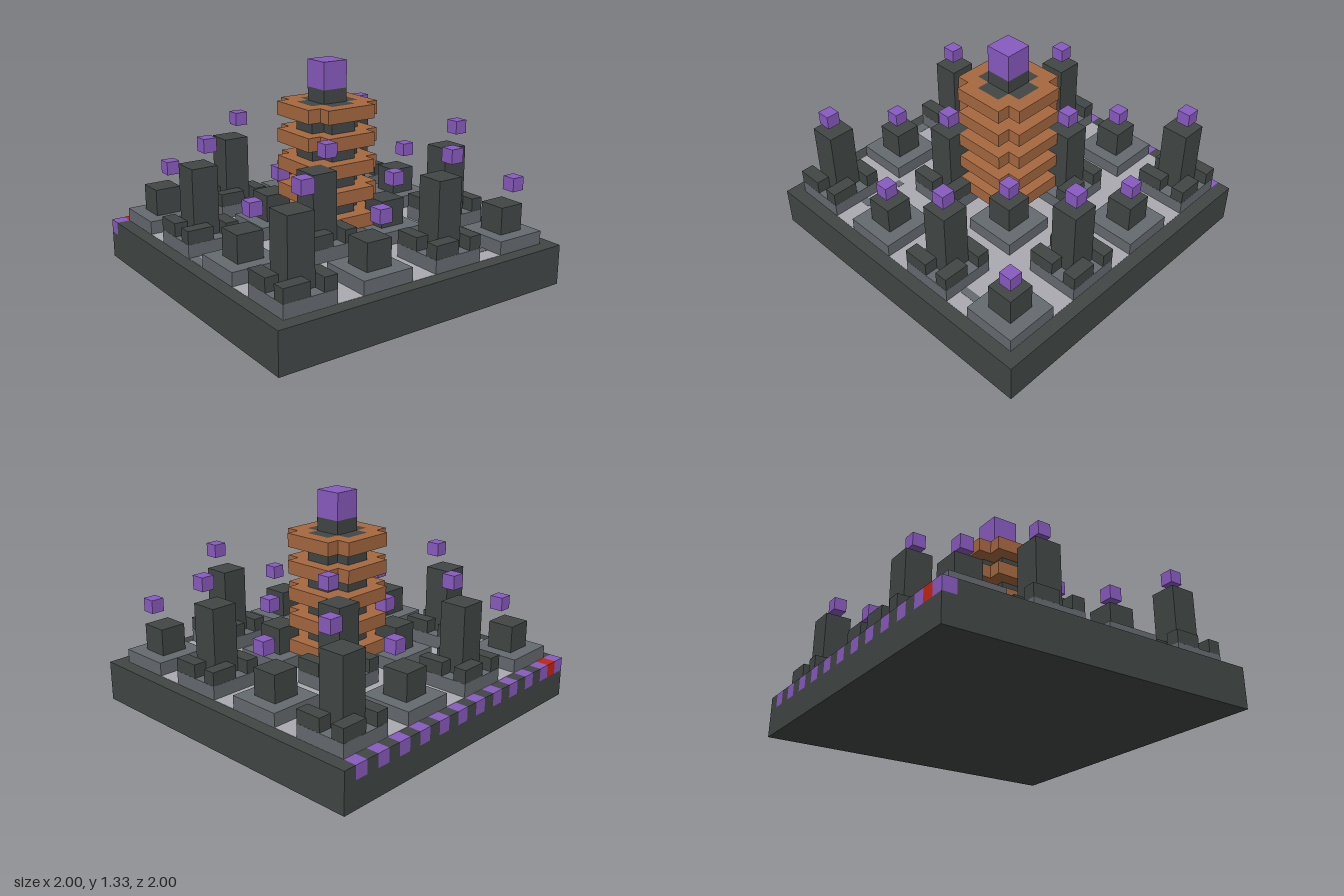
import * as THREE from 'three';

const U = 1 / 12; // one block

const material = (name, color) => {
  const m = new THREE.MeshStandardMaterial({ color });
  m.name = name;
  return m;
};

export function createModel() {
  const dark = material('dark stone', 0x414746);
  const grey = material('grey stone', 0x656a6f);
  const light = material('pale paving', 0xaaaab0);
  const copper = material('copper', 0xa5683f);
  const purple = material('purple crystal', 0x895bc0);
  const red = material('red marker', 0xc42412);

  const model = new THREE.Group();
  model.name = 'blockCity';

  // Box from its lowest corner and size, both in blocks
  function box(parent, name, mat, x, y, z, w, h, d) {
    const mesh = new THREE.Mesh(new THREE.BoxGeometry(w * U, h * U, d * U), mat);
    mesh.position.set((x + w / 2) * U, (y + h / 2) * U, (z + d / 2) * U);
    mesh.name = name;
    parent.add(mesh);
    return mesh;
  }

  // Base slab, with a row of coloured blocks along its back edge
  box(model, 'baseSlab', dark, -12, 0, -12, 24, 2, 24);
  box(model, 'baseTop', dark, -12, 2, -11, 24, 1, 23);
  for (let i = -12; i < 12; i++) {
    const mat = i === -11 ? red : i % 2 === 0 ? purple : dark;
    box(model, 'backEdgeBlock', mat, i, 2, -12, 1, 1, 1);
  }

  // Paving
  box(model, 'paving', light, -11, 3, -11, 22, 0.02, 22);

  // Worn spots on the paving: x, z, width, depth in units
  const spots = [
    [-0.545, -0.545, 0.05, 0.05], [-0.625, -0.45, 0.05, 0.07], [-0.55, -0.13, 0.07, 0.05],
    [0.54, 0.04, 0.05, 0.05], [-0.545, 0.455, 0.05, 0.05], [-0.795, 0.55, 0.05, 0.07],
    [-0.45, 0.62, 0.07, 0.05], [-0.55, 0.705, 0.07, 0.05], [0.5, 0.79, 0.17, 0.05],
    [-0.885, 0, 0.063, 0.167],
  ];
  for (const [x, z, w, d] of spots) {
    box(model, 'pavingSpot', grey, (x - w / 2) / U, 3, (z - d / 2) / U, w / U, 0.04, d / U);
  }

  // Sixteen plots, tall and short towers alternating
  for (let i = 0; i < 4; i++) {
    for (let j = 0; j < 4; j++) {
      const tall = (i + j) % 2 === 1;
      const x = -11 + 6 * i;
      const z = -11 + 6 * j;
      const plot = new THREE.Group();
      plot.name = tall ? 'tallPlot' : 'shortPlot';
      model.add(plot);
      box(plot, 'pad', grey, x, 3, z, 4, 1, 4);
      box(plot, 'tower', dark, x + 1, 4, z + 1, 2, tall ? 5 : 2, 2);
      box(plot, 'floatingCrystal', purple, x + 2, tall ? 10 : 7, z + 2, 1, 1, 1);
      if (!tall) continue;
      // Low blocks turning around the tower foot
      for (const [dx, dz, w, d] of [[0, 0, 1, 2], [2, 0, 2, 1], [3, 2, 1, 2], [0, 3, 2, 1]]) {
        box(plot, 'footBlock', dark, x + dx, 4, z + dz, w, 1, d).scale.setScalar(0.99);
      }
    }
  }

  // Central spire: cross-shaped core, copper rings, crystal on top
  const spire = new THREE.Group();
  spire.name = 'centralSpire';
  model.add(spire);

  // Square with one block cut from each corner, optionally pierced by the core
  const notched = (Path, r) => {
    const a = r * U, b = (r - 1) * U;
    return new Path([
      [a, -b], [a, b], [b, b], [b, a], [-b, a], [-b, b],
      [-a, b], [-a, -b], [-b, -b], [-b, -a], [b, -a], [b, -b],
    ].map(([x, y]) => new THREE.Vector2(x, y)));
  };
  function slab(name, mat, shape, y, h) {
    const geo = new THREE.ExtrudeGeometry(shape, { depth: h * U, bevelEnabled: false });
    geo.rotateX(-Math.PI / 2);
    const mesh = new THREE.Mesh(geo, mat);
    mesh.position.y = y * U;
    mesh.name = name;
    spire.add(mesh);
  }
  slab('spireCore', dark, notched(THREE.Shape, 2), 3, 10);
  for (let y = 4; y <= 12; y += 2) {
    const ring = notched(THREE.Shape, 3);
    ring.holes.push(notched(THREE.Path, 2));
    slab('copperRing', copper, ring, y, 1);
  }
  box(spire, 'spireNeck', dark, -1, 13, -1, 2, 1, 2);
  box(spire, 'topCrystal', purple, -1, 14, -1, 2, 2, 2);

  return model;
}
